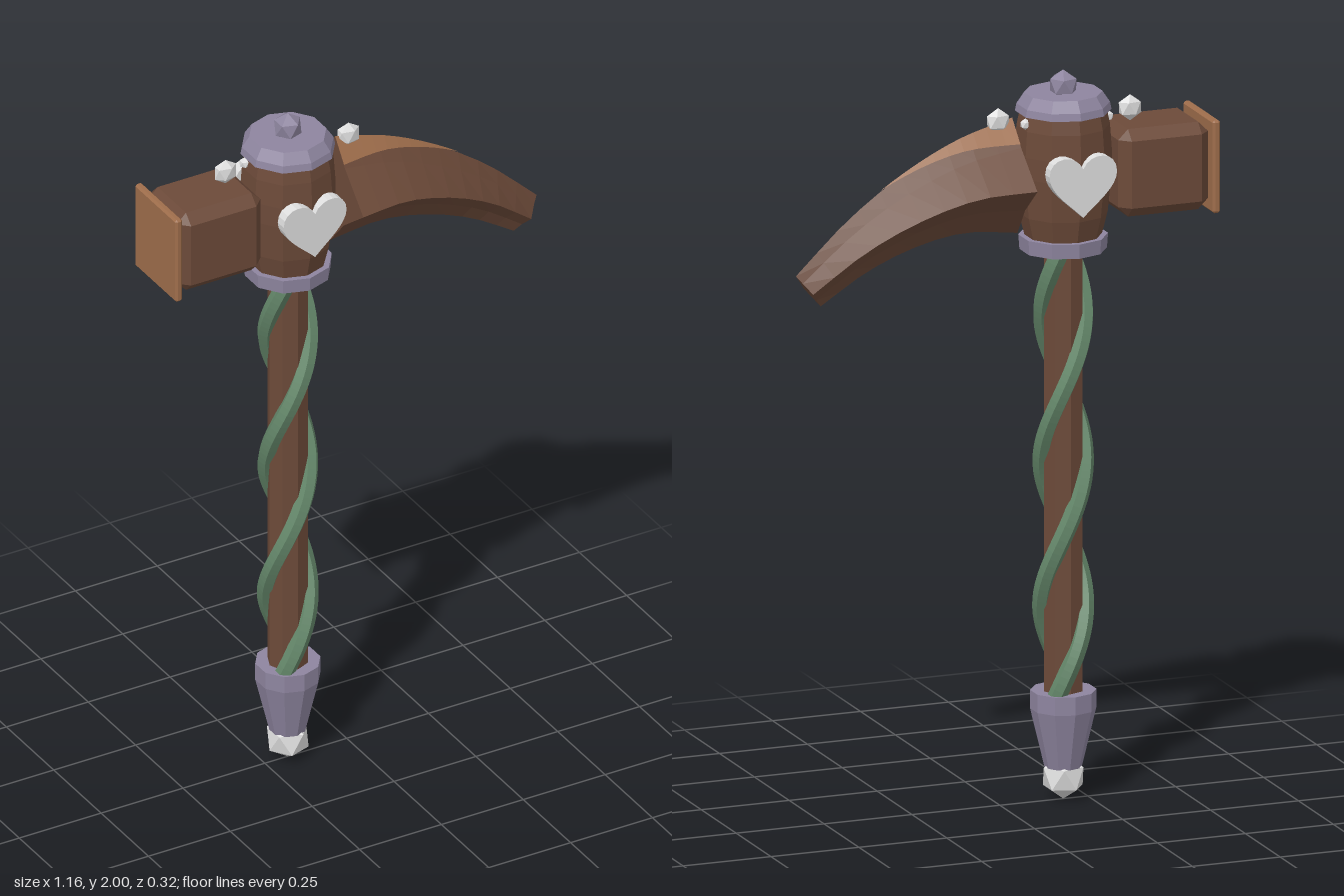
import * as THREE from 'three';
import { ConvexGeometry } from 'three/addons/geometries/ConvexGeometry.js';

const AXIS = -0.18; // x of the handle axis

const mat = (name, color, extra = {}) => {
  const m = new THREE.MeshStandardMaterial({ color, flatShading: true, ...extra });
  m.name = name;
  return m;
};

// Box with every edge cut at an angle
function chamferBox(w, h, d, c) {
  const pts = [];
  for (const x of [-1, 1]) for (const y of [-1, 1]) for (const z of [-1, 1]) {
    const [X, Y, Z] = [x * w / 2, y * h / 2, z * d / 2];
    pts.push(new THREE.Vector3(X, Y - y * c, Z - z * c),
      new THREE.Vector3(X - x * c, Y, Z - z * c),
      new THREE.Vector3(X - x * c, Y - y * c, Z));
  }
  return new ConvexGeometry(pts);
}

// Skin over cross-sections that run towards +x, each listed top, +z, bottom, -z
function loft(rings, closed) {
  const out = [];
  const tri = (...p) => p.forEach(v => out.push(v.x, v.y, v.z));
  const n = rings[0].length;
  for (let i = 0; i < rings.length - 1; i++) {
    for (let j = 0; j < (closed ? n : n - 1); j++) {
      const k = (j + 1) % n;
      const a = rings[i][j], b = rings[i + 1][j], c = rings[i + 1][k], d = rings[i][k];
      tri(a, d, c);
      tri(a, c, b);
    }
  }
  if (closed) {
    const first = rings[0], last = rings[rings.length - 1];
    const mid = r => r[0].clone().lerp(r[n / 2], 0.5);
    for (let j = 0; j < n; j++) {
      const k = (j + 1) % n;
      tri(mid(first), first[k], first[j]);
      tri(mid(last), last[j], last[k]);
    }
  }
  const g = new THREE.BufferGeometry();
  g.setAttribute('position', new THREE.Float32BufferAttribute(out, 3));
  g.computeVertexNormals();
  return g;
}

export function createModel() {
  const wood = mat('brown wood', 0x6c4a39);
  const lightWood = mat('light wood', 0x9e6d4b, { side: THREE.DoubleSide });
  const metal = mat('purple metal', 0x8e859f);
  const vineGreen = mat('vine green', 0x64876a);
  const silver = mat('pale silver', 0xdedede);

  const group = new THREE.Group();
  const add = (name, geo, material, x = 0, y = 0, z = 0) => {
    const m = new THREE.Mesh(geo, material);
    m.name = name;
    m.position.set(x, y, z);
    group.add(m);
    return m;
  };
  const turned = (name, profile, material, sides = 10) => add(name,
    new THREE.LatheGeometry(profile.map(p => new THREE.Vector2(...p)), sides), material, AXIS);
  // Icosahedron standing on one of its points
  const gem = (name, r, material, x, y, z = 0) => add(name,
    new THREE.IcosahedronGeometry(r, 0).rotateZ(-Math.atan2(2, 1 + Math.sqrt(5))), material, x, y, z);

  // Handle
  add('handle', new THREE.CylinderGeometry(0.055, 0.055, 1.3, 8), wood, AXIS, 0.9);
  turned('handleCap', [[0, 0.09], [0.05, 0.09], [0.088, 0.25], [0.088, 0.3], [0, 0.3]], metal);
  gem('pommelGem', 0.062, silver, AXIS, 0.062);

  // Two vines winding up the handle
  for (const turn of [0, Math.PI]) {
    const pts = [];
    for (let i = 0; i <= 36; i++) {
      const y = 0.28 + i / 36 * 1.24;
      const a = (y - 0.38) / 0.8 * Math.PI * 2 + turn;
      pts.push(new THREE.Vector3(0.057 * Math.sin(a), y, 0.057 * Math.cos(a)));
    }
    add('vine', new THREE.TubeGeometry(new THREE.CatmullRomCurve3(pts), 72, 0.025, 6), vineGreen, AXIS);
  }

  // Barrel of the head with its collars
  turned('barrel', [[0, 1.53], [0.098, 1.53], [0.118, 1.61], [0.129, 1.72], [0.129, 1.78],
    [0.124, 1.85], [0.112, 1.91], [0, 1.91]], wood);
  turned('lowerCollar', [[0, 1.51], [0.116, 1.51], [0.119, 1.55], [0, 1.55]], metal);
  turned('upperCollar', [[0, 1.885], [0.128, 1.89], [0.124, 1.91], [0.104, 1.94], [0, 1.94]], metal);
  gem('topGem', 0.041, metal, AXIS, 1.959);

  // Hammer block and striking plate
  add('hammerBlock', chamferBox(0.255, 0.24, 0.205, 0.028), wood, -0.4345, 1.72);
  add('strikingPlate', chamferBox(0.022, 0.255, 0.22, 0.006), lightWood, -0.574, 1.72);

  // Pick: the diamond section follows an upper and a lower curve
  const curve = pts => new THREE.CatmullRomCurve3(pts.map(p => new THREE.Vector3(...p, 0)));
  const top = curve([[-0.035, 1.88], [0.12, 1.835], [0.28, 1.755], [0.43, 1.65], [0.58, 1.51]]);
  const bottom = curve([[-0.05, 1.565], [0.1, 1.58], [0.24, 1.555], [0.38, 1.5], [0.51, 1.42]]);
  const section = (u, shape, lift = 0) => shape.map(([f, t]) => {
    const p = bottom.getPoint(u).lerp(top.getPoint(u), t);
    p.y += lift;
    p.z = f * THREE.MathUtils.lerp(0.162, 0.034, u);
    return p;
  });
  const diamond = [[0, 1], [0.35, 0.79], [1, 0.49], [0.4, 0.25], [0, 0],
    [-0.4, 0.25], [-1, 0.49], [-0.35, 0.79]];
  const body = [], ridge = [];
  for (let i = 0; i <= 10; i++) {
    body.push(section(i / 10, diamond));
    const f = 0.32 * (1 - i / 10), t = 1 - 0.6 * f;
    ridge.push(section(i / 10 * 0.6, [[-f, t], [0, 1], [f, t]], 0.003));
  }
  add('pick', loft(body, true), wood);
  add('pickRidge', loft(ridge, false), lightWood);

  // Hearts on both faces of the barrel
  const heart = new THREE.Shape();
  heart.moveTo(0, -0.085);
  heart.bezierCurveTo(0.04, -0.045, 0.096, -0.01, 0.096, 0.035);
  heart.bezierCurveTo(0.096, 0.092, 0.02, 0.095, 0, 0.048);
  heart.bezierCurveTo(-0.02, 0.095, -0.096, 0.092, -0.096, 0.035);
  heart.bezierCurveTo(-0.096, -0.01, -0.04, -0.045, 0, -0.085);
  const heartGeo = new THREE.ExtrudeGeometry(heart, { depth: 0.032, bevelEnabled: false, curveSegments: 8 });
  for (const s of [1, -1]) {
    add('heart', heartGeo, silver, AXIS, 1.715, s * 0.113).rotation.y = s > 0 ? 0 : Math.PI;
  }

  // Flattened studs on the block and the pick, small ones on the barrel
  for (const x of [-0.37, 0.005]) gem('stud', 0.036, silver, x, 1.877).scale.z = 0.6;
  for (const s of [-1, 1]) gem('barrelStud', 0.016, silver, AXIS + s * 0.117, 1.868, -0.025);

  return group;
}
